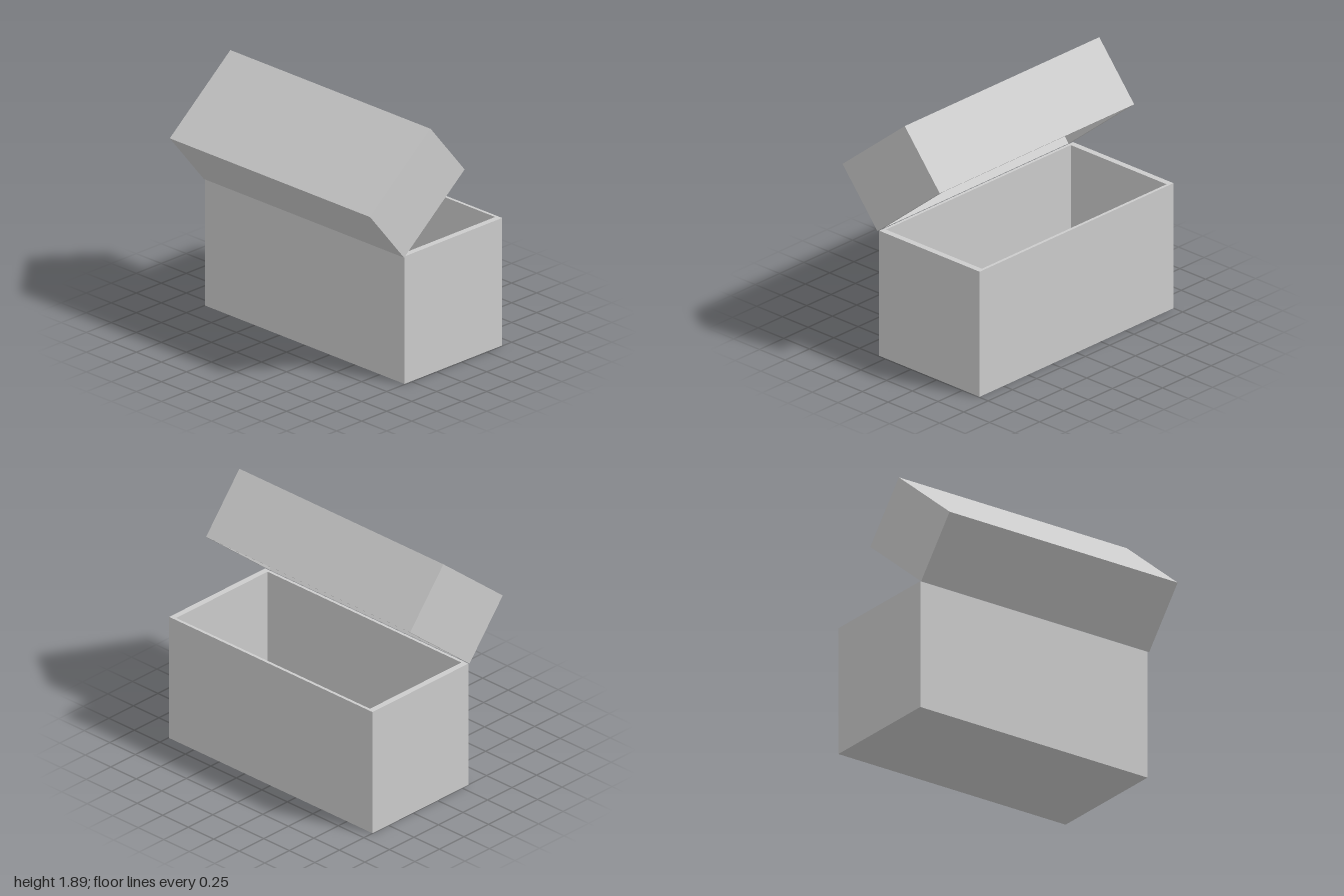
import * as THREE from 'three';
import { mergeGeometries } from 'three/addons/utils/BufferGeometryUtils.js';

const material = new THREE.MeshStandardMaterial({ color: 0xcccccc, flatShading: true });

// Box standing on y = 0 with its +y face left out; inward turns its faces to the inside
function toplessBox(w, h, d, inward = false) {
  const g = new THREE.BoxGeometry(w, h, d).translate(0, h / 2, 0);
  const index = Array.from(g.index.array);
  index.splice(12, 6);
  if (inward) index.reverse();
  g.setIndex(index);
  g.clearGroups();
  g.computeVertexNormals();
  return g;
}

function rectangle(PathType, w, d) {
  return new PathType([[-1, -1], [1, -1], [1, 1], [-1, 1]]
    .map(([x, y]) => new THREE.Vector2(x * w / 2, y * d / 2)));
}

// Hollow tray open at +y: outer shell, inner shell and the rim joining them
function openBox(name, w, h, d, wallX, floor, wallZ) {
  const innerW = w - 2 * wallX, innerD = d - 2 * wallZ;
  const outer = toplessBox(w, h, d);
  const inner = toplessBox(innerW, h - floor, innerD, true).translate(0, floor, 0);
  const rimShape = rectangle(THREE.Shape, w, d);
  rimShape.holes.push(rectangle(THREE.Path, innerW, innerD));
  const rim = new THREE.ShapeGeometry(rimShape).rotateX(-Math.PI / 2).translate(0, h, 0);
  const mesh = new THREE.Mesh(mergeGeometries([outer, inner, rim]), material);
  mesh.name = name;
  return mesh;
}

export function createModel() {
  const model = new THREE.Group();
  model.name = 'openChest';

  // Chest body
  const body = openBox('body', 0.977, 0.98, 1.993, 0.023, 0.025, 0.047);
  body.position.set(0.173, 0, -0.003);

  // Lid, tipped back about the body's left top edge with its opening facing down
  const lid = openBox('lid', 0.782, 0.536, 2, 0.018, 0.025, 0.05);
  lid.position.set(-0.363, 1.638, 0);
  lid.rotation.z = THREE.MathUtils.degToRad(-140.7);

  model.add(body, lid);
  return model;
}
